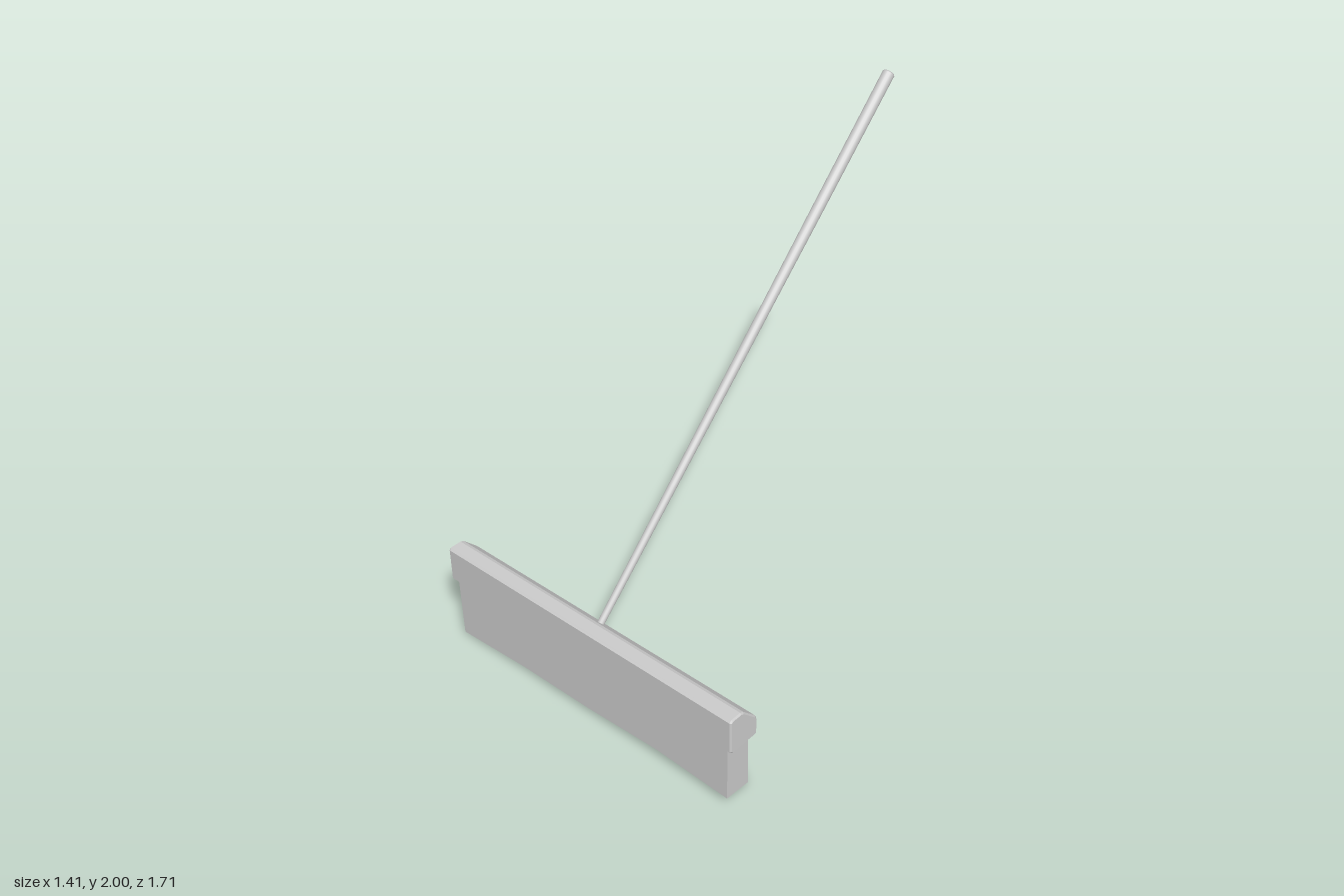
import * as THREE from 'three';

const material = new THREE.MeshStandardMaterial({ color: 0xcccccc });
const flat = new THREE.MeshStandardMaterial({ color: 0xcccccc, flatShading: true });

function part(name, geometry, mat = material) {
  const mesh = new THREE.Mesh(geometry, mat);
  mesh.name = name;
  return mesh;
}

// Head: (z, y) cross-section with a sloped back corner, extruded along x
function headGeometry() {
  const profile = [
    [0.712, 0.268], [0.849, 0.268], [0.858, 0.277], [0.858, 0.412], [0.849, 0.421],
    [0.803, 0.421], [0.788, 0.415], [0.727, 0.354], [0.72, 0.339], [0.72, 0.276],
  ];
  profile[0][0] = 0.728;
  const shape = new THREE.Shape(profile.map(([z, y]) => new THREE.Vector2(z, y)));
  const bevel = 0.006, width = 1.41;
  const geometry = new THREE.ExtrudeGeometry(shape, {
    depth: width - 2 * bevel, bevelEnabled: true, bevelSize: bevel,
    bevelOffset: -bevel, bevelThickness: bevel, bevelSegments: 1,
  });
  geometry.translate(0, 0, bevel - width / 2);
  return geometry.rotateY(-Math.PI / 2);
}

// Bristles: a block whose lower edge is unevenly worn along x
function bristleGeometry() {
  const front = [0.012, 0.03, 0.032, 0.047, 0.032];
  const back = [0, 0.02, 0.03, 0.045, 0.024];
  const top = 0.28;
  const geometry = new THREE.BoxGeometry(1.36, 1, 0.106, 4, 1, 1);
  const p = geometry.attributes.position;
  for (let i = 0; i < p.count; i++) {
    const column = Math.round((p.getX(i) / 1.36 + 0.5) * 4);
    const isFront = p.getZ(i) > 0;
    const low = p.getY(i) < 0;
    p.setY(i, low ? (isFront ? front : back)[column] : top);
    // slight splay towards the tips at the back, narrowing at the ends
    p.setZ(i, p.getZ(i) + 0.793 + (low && !isFront ? -0.006 : 0));
    if (low) p.setX(i, p.getX(i) * 0.995);
  }
  geometry.computeVertexNormals();
  return geometry;
}

// Handle: tapered round pole with a small bevel at the grip end
function handleGeometry(length) {
  const profile = [
    [0, 0], [0.0135, 0], [0.0165, length * 0.25], [0.0195, length * 0.5],
    [0.0225, length * 0.75], [0.024, length - 0.006], [0.019, length], [0, length],
  ];
  return new THREE.LatheGeometry(profile.map(([r, y]) => new THREE.Vector2(r, y)), 16);
}

export function createModel() {
  const group = new THREE.Group();
  group.name = 'pushBroom';
  group.add(part('head', headGeometry(), flat));
  group.add(part('bristles', bristleGeometry(), flat));

  // The pole leans back from the sloped face of the head
  const start = new THREE.Vector3(0, 0.376, 0.768);
  const end = new THREE.Vector3(0, 1.984, -0.842);
  const direction = end.clone().sub(start);
  const handle = part('handle', handleGeometry(direction.length()));
  handle.position.copy(start);
  handle.quaternion.setFromUnitVectors(new THREE.Vector3(0, 1, 0), direction.normalize());
  group.add(handle);
  return group;
}
